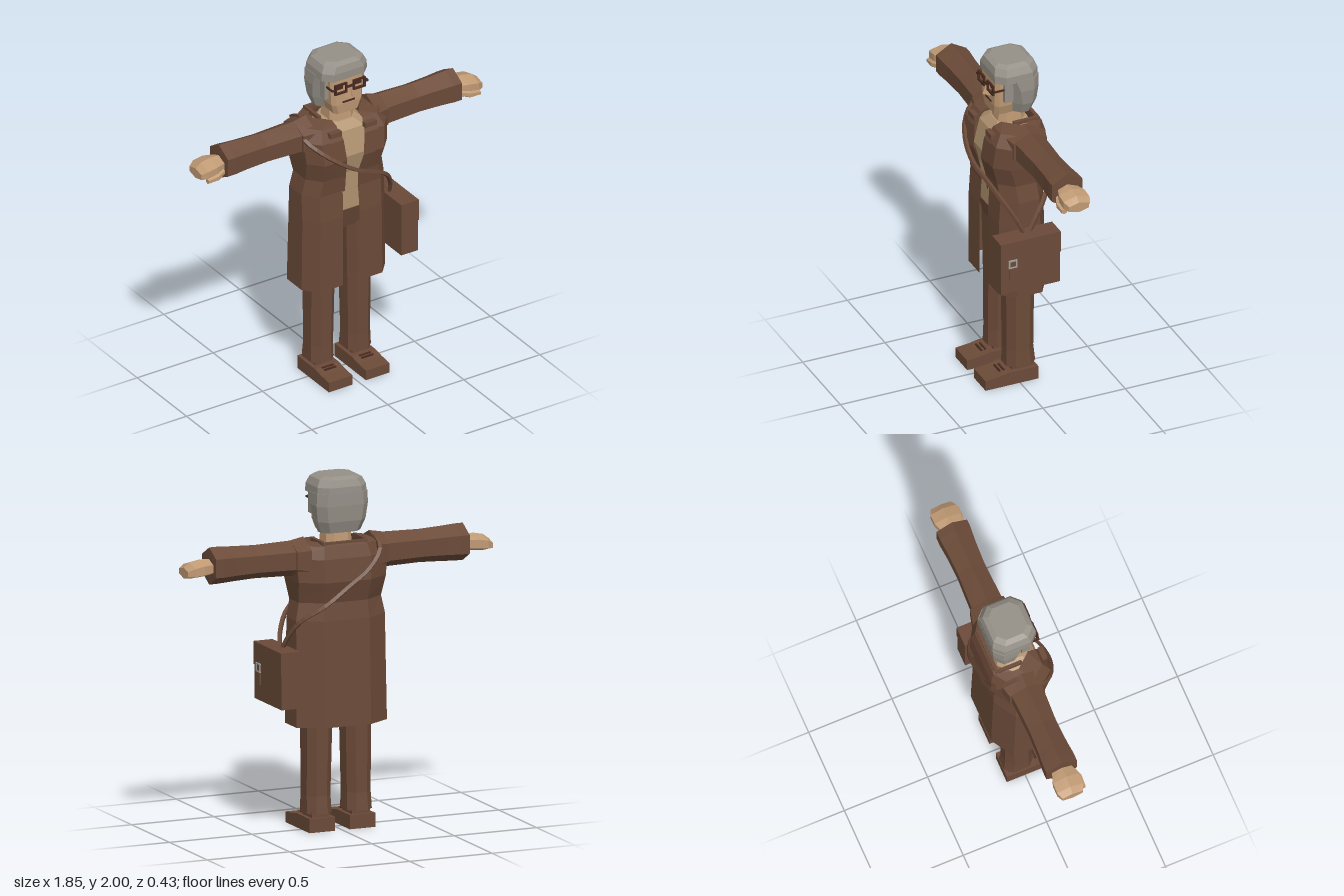
import * as THREE from 'three';

const mat = (name, color, side = THREE.FrontSide) => {
  const m = new THREE.MeshStandardMaterial({ color, side });
  m.name = name;
  return m;
};

// Flat-faced surface through a list of cross-sections
function loft(rings, { closed = true, caps = true } = {}) {
  const pos = [];
  const tri = (a, b, c) => pos.push(...a, ...b, ...c);
  const n = rings[0].length;
  for (let i = 0; i < rings.length - 1; i++) {
    for (let j = 0; j < (closed ? n : n - 1); j++) {
      const k = (j + 1) % n;
      const [a, b, c, d] = [rings[i][j], rings[i][k], rings[i + 1][k], rings[i + 1][j]];
      tri(a, b, c);
      tri(a, c, d);
    }
  }
  if (closed && caps) {
    const lo = rings[0], hi = rings[rings.length - 1];
    for (let j = 1; j < n - 1; j++) {
      tri(hi[0], hi[j], hi[j + 1]);
      tri(lo[0], lo[j + 1], lo[j]);
    }
  }
  const g = new THREE.BufferGeometry();
  g.setAttribute('position', new THREE.Float32BufferAttribute(pos, 3));
  g.computeVertexNormals();
  return g;
}

// Rectangle with cut corners, at height y
const oct = (y, hw, zf, zb, c, x = 0) => [
  [-hw + c, zf], [hw - c, zf], [hw, zf - c], [hw, zb + c],
  [hw - c, zb], [-hw + c, zb], [-hw, zb + c], [-hw, zf - c],
].map(([px, z]) => [px + x, y, z]);

// Hexagon across the arm, pointing up and down, at distance x
const hex = (x, h, w, y = 1.545, z = -0.025) => [
  [-h, 0], [-h / 2, w], [h / 2, w], [h, 0], [h / 2, -w], [-h / 2, -w],
].map(([u, v]) => [x, y - u, z + v]);

const mirror = rings => rings.map(r => r.map(([x, y, z]) => [-x, y, z]).reverse());

export function createModel() {
  const root = new THREE.Group();
  root.name = 'figure';
  const brown = mat('brown cloth', 0x6b4a38, THREE.DoubleSide);
  const dark = mat('dark brown', 0x48291f);
  const skin = mat('skin', 0xc09a74);
  const shirtTan = mat('tan shirt', 0xb39572);
  const grey = mat('grey hair', 0x959087);
  const metal = mat('metal', 0xa0a09c);

  const add = (name, geo, m, x = 0, y = 0, z = 0) => {
    const mesh = new THREE.Mesh(geo, m);
    mesh.name = name;
    mesh.position.set(x, y, z);
    root.add(mesh);
    return mesh;
  };
  const box = (name, m, w, h, d, x, y, z) => add(name, new THREE.BoxGeometry(w, h, d), m, x, y, z);
  const pair = (name, rings, m, opts) => {
    add('left' + name, loft(rings, opts), m);
    add('right' + name, loft(mirror(rings), opts), m);
  };

  // Open-fronted coat: y, half width, front z, back z, opening half width
  const coat = [
    [0.6, 0.275, 0.13, -0.18, 0.055], [1.04, 0.27, 0.13, -0.17, 0.055],
    [1.2, 0.27, 0.12, -0.165, 0.05], [1.3, 0.25, 0.13, -0.155, 0.045],
    [1.42, 0.265, 0.165, -0.19, 0.06], [1.55, 0.275, 0.15, -0.18, 0.075],
    [1.62, 0.25, 0.11, -0.16, 0.085], [1.635, 0.16, 0.06, -0.14, 0.085],
  ].map(([y, w, f, b, e]) => [
    [e, y, f], [w - 0.07, y, f], [w, y, f - 0.08], [w, y, b + 0.08], [w * 0.52, y, b],
    [-w * 0.52, y, b], [-w, y, b + 0.08], [-w, y, f - 0.08], [-w + 0.07, y, f], [-e, y, f],
  ]);
  add('coat', loft(coat, { closed: false }), brown);

  // Lapels and collar
  const lapel = [
    [1.2, 0.042, 0.055, 0.13], [1.3, 0.042, 0.1, 0.14], [1.42, 0.055, 0.13, 0.174],
    [1.55, 0.07, 0.155, 0.16], [1.6, 0.08, 0.15, 0.135],
  ].map(([y, a, b, z]) => [[a, y, z], [b, y, z]]);
  pair('Lapel', lapel, brown, { closed: false });
  for (const s of [-1, 1]) {
    box('collarTip', brown, 0.075, 0.03, 0.03, s * 0.115, 1.59, 0.14);
    box('collarSide', brown, 0.02, 0.02, 0.14, s * 0.13, 1.635, -0.06);
  }
  box('collarBack', brown, 0.27, 0.03, 0.02, 0, 1.625, -0.14);

  // Shirt, hips, neck
  add('shirt', loft([
    oct(1.06, 0.15, 0.1, -0.12, 0.05), oct(1.3, 0.15, 0.11, -0.12, 0.05),
    oct(1.42, 0.16, 0.14, -0.14, 0.05), oct(1.57, 0.15, 0.11, -0.12, 0.05),
    oct(1.615, 0.09, 0.07, -0.11, 0.04),
  ]), shirtTan);
  add('hips', loft([oct(0.93, 0.19, 0.07, -0.12, 0.05), oct(1.06, 0.18, 0.105, -0.125, 0.05)]), brown);
  add('neck', loft([oct(1.58, 0.08, 0.065, -0.1, 0.035), oct(1.72, 0.072, 0.055, -0.09, 0.035)]), skin);

  // Sleeves, shoulder caps, hands
  pair('Shoulder', [hex(0.2, 0.115, 0.12), hex(0.28, 0.1, 0.1)], brown);
  pair('Sleeve', [
    hex(0.25, 0.1, 0.09), hex(0.5, 0.094, 0.08), hex(0.64, 0.1, 0.085),
    hex(0.72, 0.105, 0.092), hex(0.77, 0.105, 0.092), hex(0.772, 0.06, 0.06),
  ], brown);
  pair('Hand', [
    hex(0.76, 0.045, 0.055, 1.54), hex(0.83, 0.05, 0.078, 1.538), hex(0.89, 0.046, 0.078, 1.53),
    hex(0.925, 0.03, 0.06, 1.52),
  ], skin);
  pair('Thumb', [
    hex(0.78, 0.02, 0.02, 1.515, 0.03), hex(0.83, 0.023, 0.022, 1.502, 0.047),
    hex(0.895, 0.016, 0.016, 1.495, 0.05),
  ], skin);

  // Trousers and shoes
  pair('Leg', [
    oct(0.1, 0.075, 0.065, -0.11, 0.04, 0.122), oct(0.2, 0.072, 0.062, -0.1, 0.04, 0.122),
    oct(0.6, 0.077, 0.065, -0.105, 0.04, 0.118), oct(1.0, 0.082, 0.075, -0.11, 0.04, 0.11),
  ], brown);
  const sole = new THREE.Shape([
    [-0.11, 0], [0.21, 0], [0.21, 0.06], [0.13, 0.068], [0.07, 0.08], [-0.11, 0.08],
  ].map(p => new THREE.Vector2(...p)));
  for (const s of [-1, 1]) {
    const shoe = new THREE.ExtrudeGeometry(sole, { depth: 0.155, bevelEnabled: false });
    shoe.translate(0, 0, -0.0775).rotateY(-Math.PI / 2);
    add('shoe', shoe, brown, s * 0.122, 0, 0);
    box('ankle', brown, 0.11, 0.04, 0.13, s * 0.122, 0.095, -0.025);
    for (const z of [0.08, 0.105]) box('lace', dark, 0.075, 0.008, 0.01, s * 0.122, 0.079, z);
  }

  // Head and face
  add('head', loft([
    oct(1.68, 0.08, 0.095, -0.08, 0.02), oct(1.74, 0.1, 0.102, -0.1, 0.02),
    oct(1.94, 0.112, 0.1, -0.1, 0.02),
  ]), skin);
  add('nose', loft([
    [[-0.027, 1.78, 0.1], [0, 1.785, 0.138], [0.027, 1.78, 0.1]],
    [[-0.01, 1.855, 0.1], [0, 1.855, 0.112], [0.01, 1.855, 0.1]],
  ]), skin);
  box('mouth', dark, 0.08, 0.01, 0.006, 0, 1.753, 0.103);

  // Glasses and eyes
  for (const s of [-1, 1]) {
    const x = s * 0.06;
    for (const dy of [-0.026, 0.026]) box('glassesRim', dark, 0.08, 0.011, 0.012, x, 1.852 + dy, 0.117);
    for (const dx of [-0.035, 0.035]) box('glassesRim', dark, 0.011, 0.052, 0.012, x + dx, 1.852, 0.117);
    box('eye', dark, 0.044, 0.016, 0.006, x, 1.85, 0.103);
    box('glassesArm', dark, 0.008, 0.01, 0.12, s * 0.116, 1.853, 0.06);
    box('glassesHinge', dark, 0.022, 0.01, 0.01, s * 0.108, 1.853, 0.117);
  }
  box('glassesBridge', dark, 0.04, 0.01, 0.012, 0, 1.853, 0.117);

  // Hair: back and sides, then crown with fringe
  add('hairBack', loft([
    oct(1.685, 0.12, -0.005, -0.125, 0.04), oct(1.75, 0.145, 0.005, -0.145, 0.045),
    oct(1.84, 0.156, 0.02, -0.153, 0.045), oct(1.91, 0.152, 0.045, -0.153, 0.045),
  ]), grey);
  add('hairCrown', loft([
    oct(1.9, 0.15, 0.108, -0.153, 0.05), oct(1.945, 0.147, 0.108, -0.151, 0.05),
    oct(1.985, 0.128, 0.098, -0.138, 0.05), oct(2, 0.1, 0.07, -0.11, 0.04),
  ]), grey);
  for (const s of [-1, 1]) box('sideburn', grey, 0.025, 0.13, 0.05, s * 0.117, 1.84, 0.035);

  // Satchel
  box('satchel', brown, 0.11, 0.32, 0.36, 0.335, 0.88, 0.025);
  box('satchelFlap', brown, 0.116, 0.13, 0.364, 0.337, 0.977, 0.025);
  box('satchelTab', brown, 0.008, 0.12, 0.036, 0.395, 0.87, 0.135);
  for (const d of [-0.021, 0.021]) {
    box('buckle', metal, 0.008, 0.008, 0.052, 0.399, 0.906 + d, 0.135);
    box('buckle', metal, 0.008, 0.046, 0.008, 0.399, 0.906, 0.135 + d);
  }

  // Strap across the chest and back
  const strap = [
    [0.315, 1.03, 0.03], [0.295, 1.12, 0.07], [0.23, 1.22, 0.125], [0.1, 1.3, 0.165],
    [0, 1.35, 0.19], [-0.12, 1.43, 0.185], [-0.22, 1.51, 0.14], [-0.27, 1.57, 0.07],
    [-0.22, 1.64, -0.03], [-0.2, 1.58, -0.17], [-0.12, 1.48, -0.2], [0, 1.39, -0.195],
    [0.14, 1.29, -0.19], [0.26, 1.2, -0.12], [0.3, 1.11, -0.05], [0.315, 1.03, 0],
  ].map(p => new THREE.Vector3(...p));
  const tube = new THREE.TubeGeometry(new THREE.CatmullRomCurve3(strap), 48, 0.014, 4).toNonIndexed();
  tube.computeVertexNormals();
  add('strap', tube, brown);

  return root;
}
